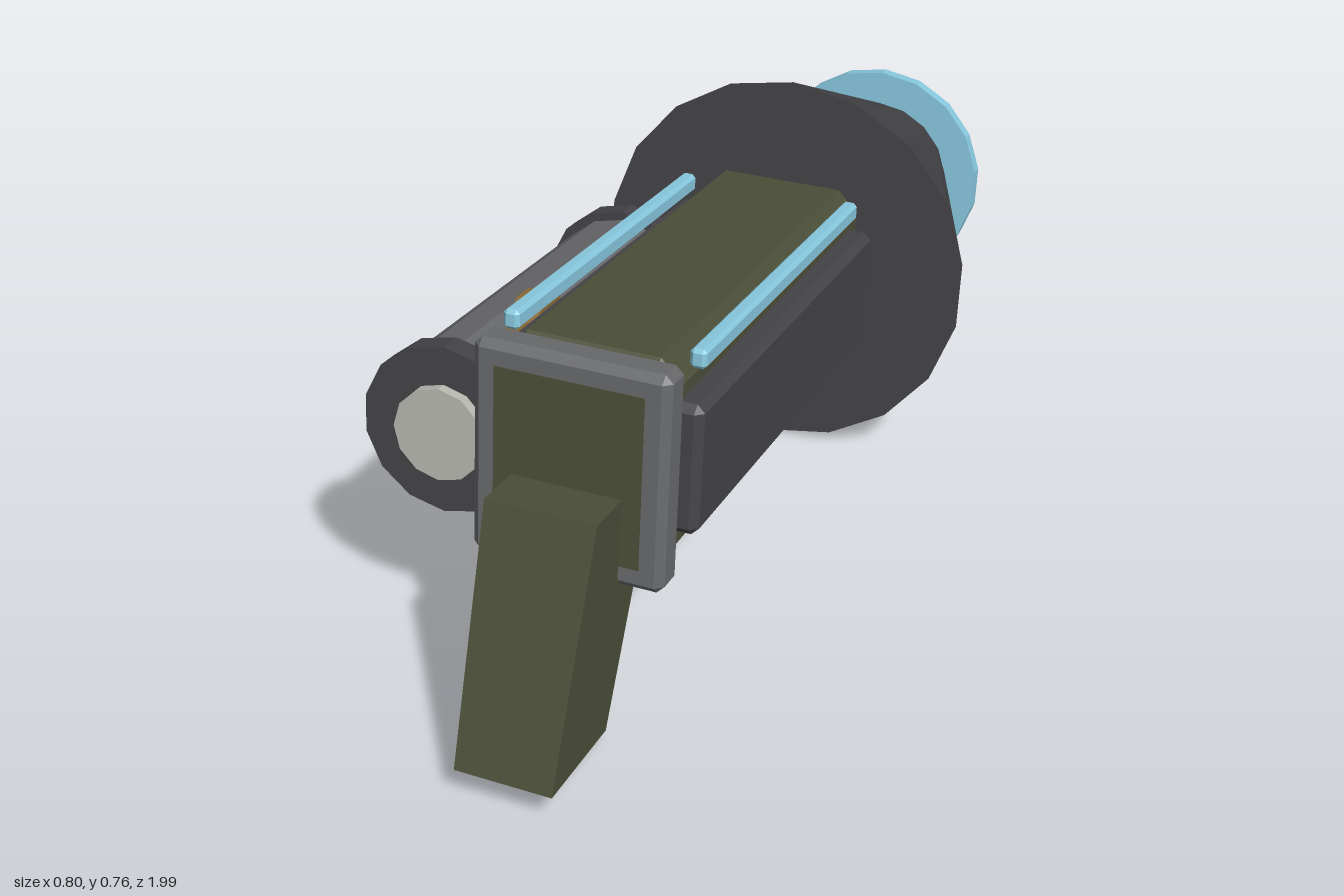
import * as THREE from 'three';
import { ConvexGeometry } from 'three/addons/geometries/ConvexGeometry.js';

const mat = (color) => new THREE.MeshStandardMaterial({ color, flatShading: true });

// Box with a flat chamfer c on every edge
function chamferBox(w, h, d, c) {
  const pts = [];
  for (const x of [-1, 1]) for (const y of [-1, 1]) for (const z of [-1, 1]) {
    const [X, Y, Z] = [w / 2, h / 2, d / 2];
    pts.push(
      new THREE.Vector3(x * X, y * (Y - c), z * (Z - c)),
      new THREE.Vector3(x * (X - c), y * Y, z * (Z - c)),
      new THREE.Vector3(x * (X - c), y * (Y - c), z * Z));
  }
  return new ConvexGeometry(pts);
}

// Cylinder along z from zBack to zFront
function drum(rFront, rBack, zBack, zFront, sides) {
  return new THREE.CylinderGeometry(rFront, rBack, zFront - zBack, sides)
    .rotateX(Math.PI / 2).translate(0, 0, (zFront + zBack) / 2);
}

export function createModel() {
  const olive = mat(0x4b4f38), dark = mat(0x444448), grey = mat(0x68696c);
  const blue = mat(0x87c8de), gold = mat(0x8a6a35), pale = mat(0xb8b8b0);

  const model = new THREE.Group();
  // The whole device is tilted nose-down and slightly turned
  const device = new THREE.Group();
  device.name = 'device';
  device.rotation.set(-0.126, 0.089, 0, 'YXZ');
  device.position.set(0.046, 0.417, 0);
  model.add(device);

  const add = (name, geometry, material, x = 0, y = 0, z = 0, parent = device) => {
    const mesh = new THREE.Mesh(geometry, material);
    mesh.name = name;
    mesh.position.set(x, y, z);
    parent.add(mesh);
    return mesh;
  };

  // Body with end plate
  add('body', chamferBox(0.32, 0.374, 0.98, 0.04), olive, 0, 0, 0.18);
  add('endPlate', chamferBox(0.35, 0.395, 0.07, 0.014), grey, 0, 0, 0.687);
  add('endPanel', new THREE.BoxGeometry(0.266, 0.312, 0.02), olive, 0, 0, 0.714);

  // Side panels and top rails
  for (const side of [-1, 1]) {
    add('sidePanel', chamferBox(0.06, 0.238, 0.9, 0.014), dark, side * 0.175, 0.005, 0.205);
    add('topRail', chamferBox(0.03, 0.036, 0.79, 0.007), blue, side * 0.169, 0.179, 0.2);
  }

  // Flared horn and its ring
  add('horn', drum(0.383, 0.148, -0.985, -0.299, 18), dark);
  add('hornRing', drum(0.24, 0.24, -0.955, -0.925, 18), blue);

  // Raked grip, slightly tapered downwards
  const gripPts = [];
  for (const [halfW, y, zBack, zFront] of [[0.1, -0.033, 0.58, 0.818], [0.089, -0.475, 0.732, 0.942]])
    for (const x of [-halfW, halfW]) for (const z of [zBack, zFront]) gripPts.push(new THREE.Vector3(x, y, z));
  add('grip', new ConvexGeometry(gripPts), olive);

  // Trigger guard
  add('guardBar', chamferBox(0.06, 0.044, 0.36, 0.01), dark, 0, -0.284, 0.54);
  add('guardStrut', chamferBox(0.04, 0.11, 0.036, 0.006), dark, 0, -0.225, 0.6);

  // Canister on the right side
  const canister = new THREE.Group();
  canister.name = 'canister';
  canister.position.set(-0.281, -0.041, 0);
  device.add(canister);
  const part = (name, geometry, material) => add(name, geometry, material, 0, 0, 0, canister);
  part('canisterTube', drum(0.14, 0.14, -0.14, 0.6, 14), grey);
  part('canisterBackCap', drum(0.157, 0.157, -0.168, -0.122, 14), dark);
  part('canisterFrontCap', drum(0.157, 0.157, 0.573, 0.62, 14), dark);
  part('canisterLens', drum(0.087, 0.087, 0.6, 0.64, 12), pale);

  // Dial between canister and body
  add('dial', new THREE.CylinderGeometry(0.075, 0.075, 0.055, 10).rotateZ(Math.PI / 2), gold, -0.222, 0.065, 0.385);
  add('dialFace', new THREE.CylinderGeometry(0.055, 0.055, 0.03, 10).rotateZ(Math.PI / 2), pale, -0.242, 0.065, 0.385);

  return model;
}
